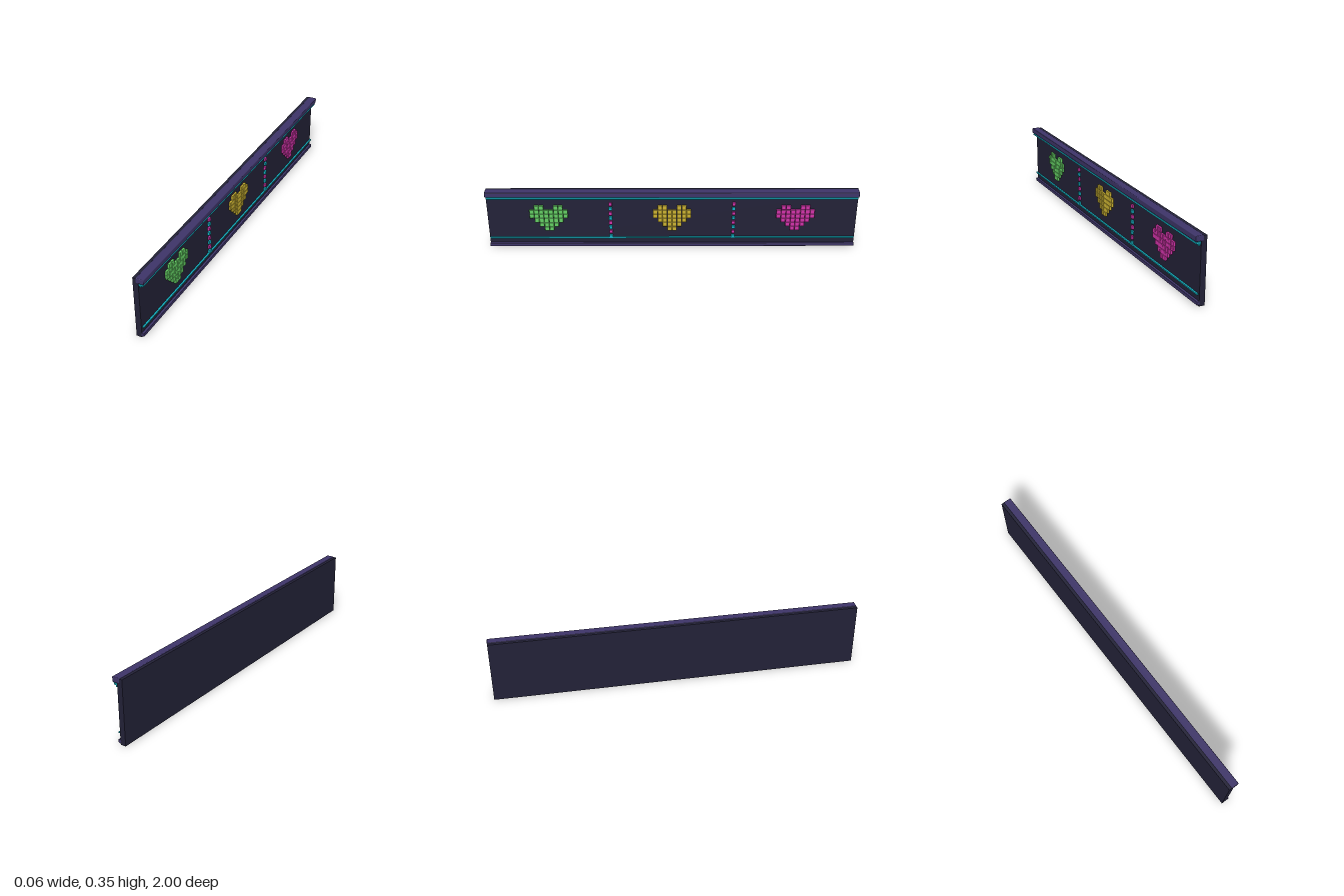
import * as THREE from 'three';
import { RoundedBoxGeometry } from 'three/addons/geometries/RoundedBoxGeometry.js';

const material = (name, color) => {
  const m = new THREE.MeshStandardMaterial({ color });
  m.name = name;
  return m;
};

export function createModel() {
  const panelNavy = material('panelNavy', 0x232238);
  const railPurple = material('railPurple', 0x3e3569);
  const cyan = material('cyan', 0x14b4c6);
  const magenta = material('magenta', 0xd233aa);
  const yellow = material('yellow', 0xcdb432);
  const green = material('green', 0x64cf64);

  const model = new THREE.Group();
  model.name = 'pixelHeartWall';

  // Box given by its x and y limits, its middle z and its length along z
  const add = (parent, name, mat, [x0, x1], [y0, y1], z, length, radius = 0) => {
    const w = x1 - x0, h = y1 - y0;
    const geometry = radius
      ? new RoundedBoxGeometry(w, h, length, 2, radius)
      : new THREE.BoxGeometry(w, h, length);
    const mesh = new THREE.Mesh(geometry, mat);
    mesh.name = name;
    mesh.position.set((x0 + x1) / 2, (y0 + y1) / 2, z);
    parent.add(mesh);
  };

  // Wall panel and rails
  add(model, 'panel', panelNavy, [-0.03, 0], [0, 0.35], 0, 1.998);
  add(model, 'topRail', railPurple, [-0.014, 0.029], [0.324, 0.353], 0, 2, 0.004);
  add(model, 'bottomRail', railPurple, [-0.003, 0.013], [0.007, 0.026], 0, 2, 0.003);

  // Light strips
  add(model, 'topLightStrip', cyan, [0, 0.024], [0.311, 0.32], 0, 1.99);
  add(model, 'upperTrim', cyan, [0.003, 0.012], [0.302, 0.309], 0, 1.99);
  add(model, 'lowerTrim', cyan, [0.003, 0.012], [0.058, 0.065], 0, 1.99);

  // Pixel hearts
  const heartRows = ['.XX..XX.', 'XXXXXXXX', 'XXXXXXXX', '.XXXXXX.', '..XXXX..', '...XX...'];
  const pitch = 0.026, half = 0.0122, heartY = 0.186;
  [[green, 0.667], [yellow, 0], [magenta, -0.667]].forEach(([mat, z]) => {
    const heart = new THREE.Group();
    heart.name = mat.name + 'Heart';
    heartRows.forEach((row, r) => {
      const y = heartY + (2.5 - r) * pitch;
      [...row].forEach((cell, c) => {
        if (cell === 'X') {
          add(heart, 'heartPixel', mat, [0.001, 0.013], [y - half, y + half],
            z + (3.5 - c) * pitch, half * 2, 0.002);
        }
      });
    });
    model.add(heart);
  });

  // Dotted dividers of alternating colours
  for (const z of [0.333, -0.333]) {
    const divider = new THREE.Group();
    divider.name = 'divider';
    for (let i = 0; i < 8; i++) {
      const y = 0.071 + i * 0.0287;
      add(divider, 'dividerPixel', i % 2 ? magenta : cyan, [0.002, 0.012],
        [y - 0.009, y + 0.009], z, 0.018);
    }
    model.add(divider);
  }

  return model;
}
